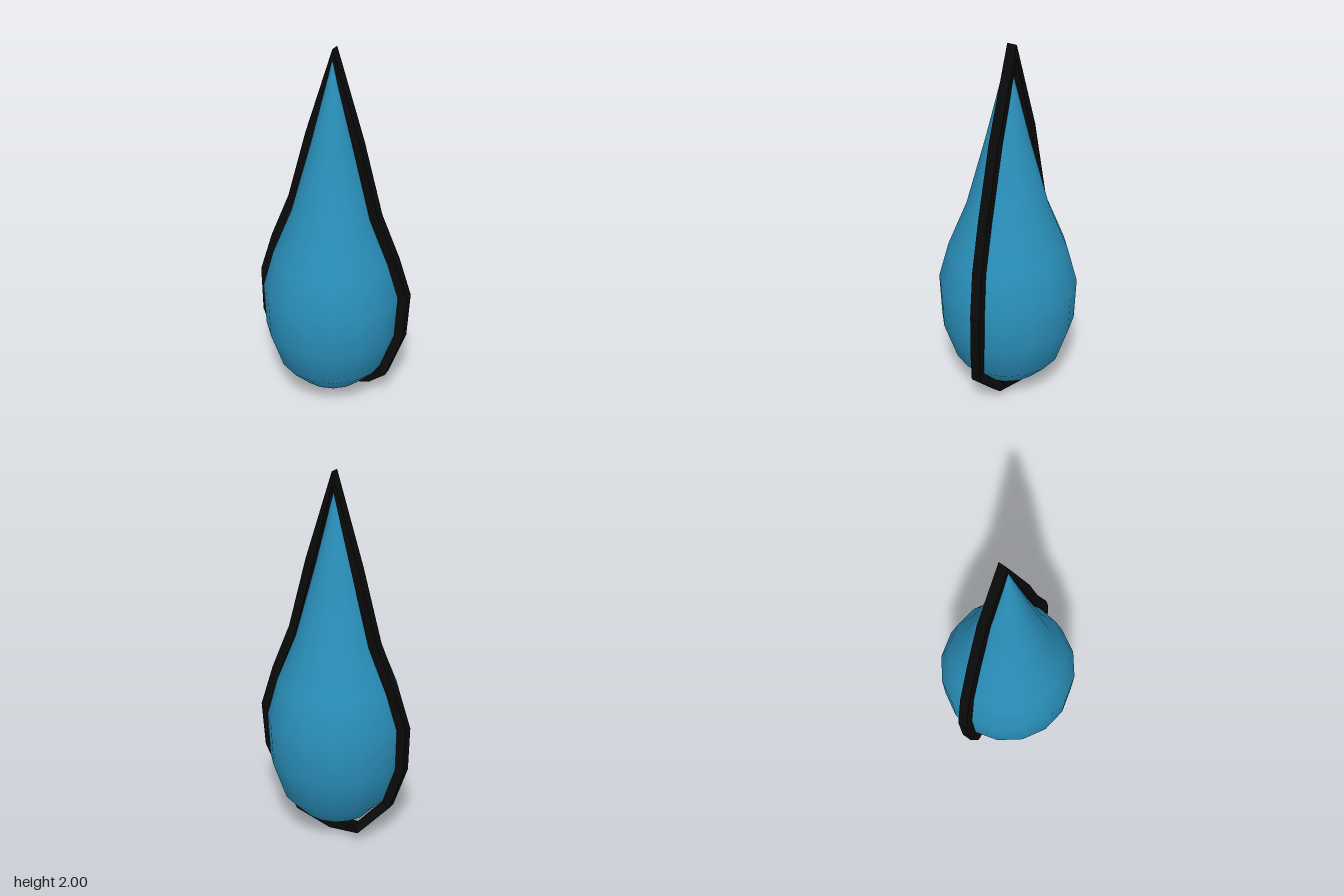
import * as THREE from 'three';

// Teardrop profile, bottom to top: radius, height
const PROFILE = [
  [0.185, 0.1], [0.29, 0.21], [0.36, 0.42], [0.37, 0.655],
  [0.315, 0.86], [0.215, 1.11], [0.11, 1.5], [0, 1.95],
];

// Rim stations, top to bottom: inner x, inner y, outer x, outer y, z on +x side, z on -x side
const RIM = [
  [0, 1.93, 0, 2, -0.024, -0.024],
  [0.12, 1.5, 0.16, 1.52, -0.013, -0.04],
  [0.22, 1.11, 0.265, 1.13, -0.012, -0.038],
  [0.315, 0.86, 0.36, 0.88, -0.033, -0.018],
  [0.368, 0.655, 0.42, 0.66, -0.056, 0.004],
  [0.358, 0.42, 0.407, 0.41, -0.045, 0.015],
  [0.29, 0.21, 0.33, 0.18, 0, 0.008],
  [0.185, 0.1, 0.21, 0.06, -0.05, -0.125],
  [0, 0.055, 0, 0, -0.057, -0.057],
];

// Closed, square-section band: runs down the +x side and back up the -x side
function rimGeometry(halfWidth) {
  const section = ([ix, iy, ox, oy, zPlus, zMinus], side) => {
    const z = side > 0 ? zPlus : zMinus;
    return [
      [side * ox, oy, z - halfWidth], [side * ox, oy, z + halfWidth],
      [side * ix, iy, z + halfWidth], [side * ix, iy, z - halfWidth],
    ];
  };
  const rings = [
    ...RIM.map((s) => section(s, 1)),
    ...RIM.slice(1, -1).reverse().map((s) => section(s, -1)),
  ];
  const positions = [];
  rings.forEach((ring, i) => {
    const next = rings[(i + 1) % rings.length];
    for (let k = 0; k < 4; k++) {
      const m = (k + 1) % 4;
      positions.push(...ring[k], ...ring[m], ...next[k], ...ring[m], ...next[m], ...next[k]);
    }
  });
  const geometry = new THREE.BufferGeometry();
  geometry.setAttribute('position', new THREE.Float32BufferAttribute(positions, 3));
  geometry.computeVertexNormals();
  return geometry;
}

export function createModel() {
  const group = new THREE.Group();
  group.name = 'teardrop';
  const blue = new THREE.MeshStandardMaterial({ color: 0x2a8fba });
  const black = new THREE.MeshStandardMaterial({ color: 0x0a0a0a });

  const add = (name, geometry, material) => {
    const mesh = new THREE.Mesh(geometry, material);
    mesh.name = name;
    group.add(mesh);
  };
  const lathe = (points) =>
    new THREE.LatheGeometry(points.map(([r, y]) => new THREE.Vector2(r, y)), 16, 0.08);

  // Smooth drop, with a shallow cone closing the bottom at a hard edge
  add('dropBody', lathe(PROFILE), blue);
  add('dropBase', lathe([[0, 0.055], PROFILE[0]]), blue);

  // Wavy dark rim around the silhouette
  add('rim', rimGeometry(0.027), black);
  return group;
}
